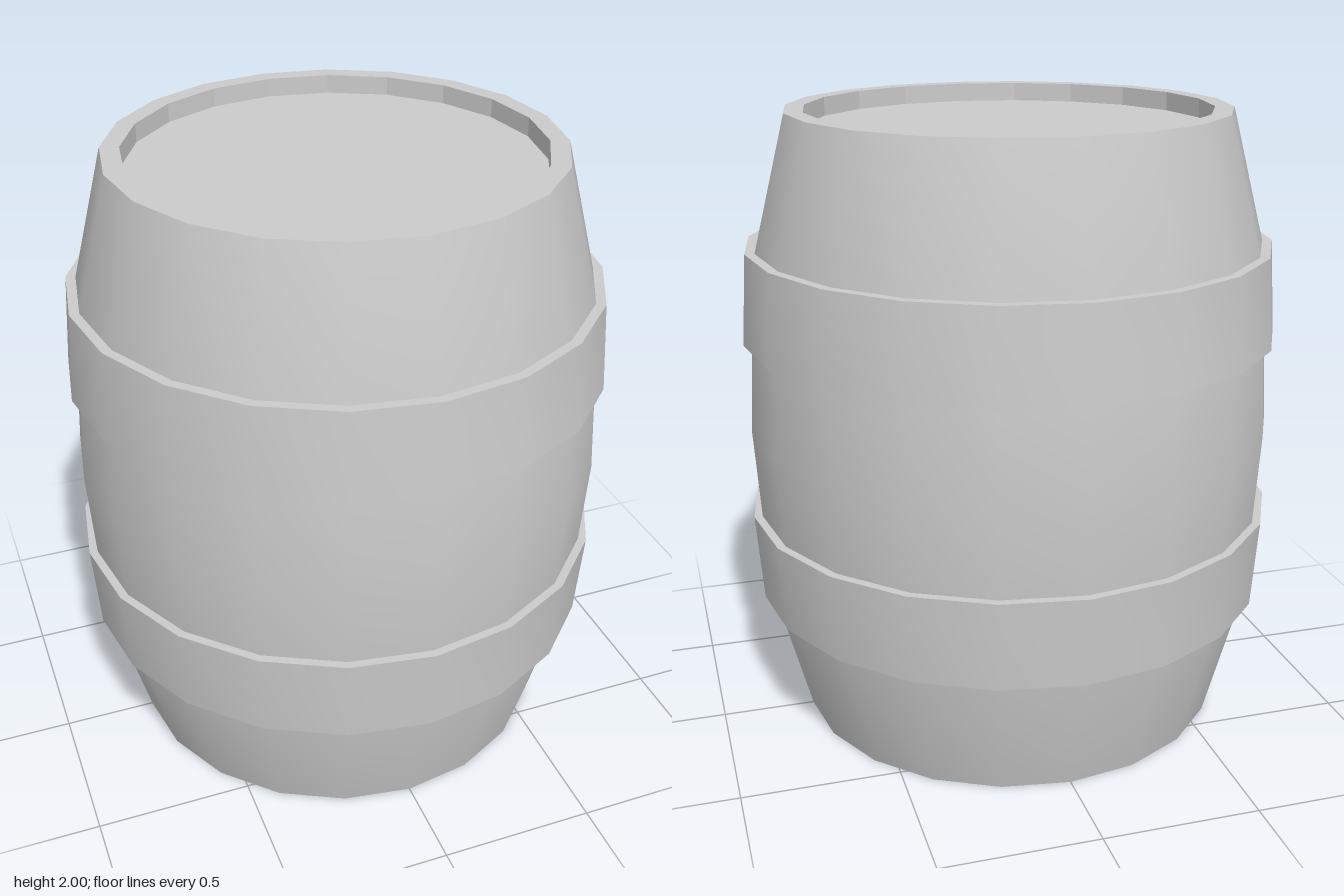
import * as THREE from 'three';
import { toCreasedNormals } from 'three/addons/utils/BufferGeometryUtils.js';

const SIDES = 20;

// Revolves a list of [radius, height] pairs around the y axis
function turned(profile) {
  return new THREE.LatheGeometry(profile.map(([r, y]) => new THREE.Vector2(r, y)), SIDES);
}

export function createModel() {
  const barrel = new THREE.Group();
  barrel.name = 'barrel';
  const smooth = new THREE.MeshStandardMaterial({ color: 0xcccccc });
  const faceted = new THREE.MeshStandardMaterial({ color: 0xcccccc, flatShading: true });

  function add(name, geometry, material) {
    const mesh = new THREE.Mesh(geometry, material);
    mesh.name = name;
    barrel.add(mesh);
  }
  const creased = (profile) => toCreasedNormals(turned(profile), Math.PI / 6);

  // Bulging staves with a flat rim at each end
  add('staves', creased([
    [0.64, 0], [0.70, 0], [0.81, 0.424], [0.833, 0.711], [0.85, 1],
    [0.833, 1.289], [0.81, 1.576], [0.70, 2], [0.64, 2],
  ]), smooth);

  // Recessed round heads with their short inner walls
  add('topHead', turned([[0.64, 2], [0.64, 1.94], [0, 1.94]]), faceted);
  add('bottomHead', turned([[0, 0.06], [0.64, 0.06], [0.64, 0]]), faceted);

  // Hoops, widest towards the middle of the barrel
  add('lowerHoop', creased([[0.8, 0.422], [0.84, 0.422], [0.86, 0.711], [0.82, 0.711]]), smooth);
  add('upperHoop', creased([[0.82, 1.291], [0.86, 1.291], [0.84, 1.58], [0.8, 1.58]]), smooth);

  return barrel;
}
